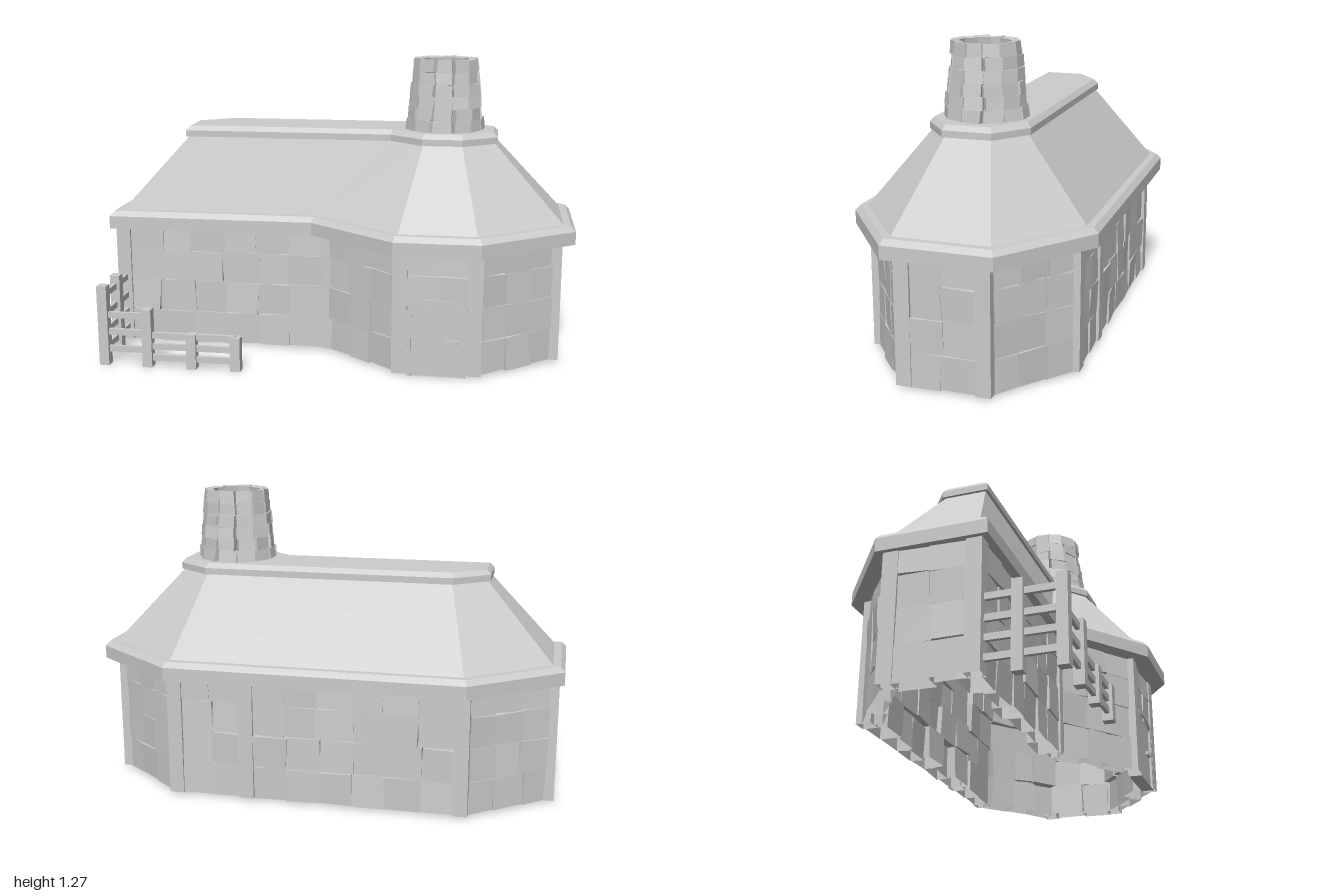
import * as THREE from 'three';

const mat = new THREE.MeshStandardMaterial({ color: 0xcccccc, flatShading: true });
const shellMat = new THREE.MeshStandardMaterial({ color: 0xcccccc, flatShading: true, side: THREE.DoubleSide });

let seed = 7;
const jitter = (a) => {
  seed = (seed * 16807) % 2147483647;
  return (seed / 2147483647 - 0.5) * 2 * a;
};

function add(parent, name, geo, x = 0, y = 0, z = 0, ry = 0, material = mat) {
  const m = new THREE.Mesh(geo, material);
  m.name = name;
  m.position.set(x, y, z);
  m.rotation.order = 'YXZ';
  m.rotation.y = ry;
  parent.add(m);
  return m;
}

function group(parent, name) {
  const g = new THREE.Group();
  g.name = name;
  parent.add(g);
  return g;
}

// Outlines are lists of [x, z], running clockwise seen from above
const eave = [[-1, -0.22], [-0.63, -0.506], [0.62, -0.506], [1, -0.22], [1, 0.22],
  [0.62, 0.504], [0.27, 0.504], [-0.105, 0.218], [-1, 0.218]];
const cap = [[-0.68, -0.1], [-0.535, -0.21], [0.525, -0.21], [0.672, -0.1], [0.672, 0.1],
  [0.53, 0.208], [0.36, 0.208], [0.22, 0.09], [-0.68, 0.09]];
const walls = [[-0.95, -0.165], [-0.61, -0.412], [0.29, -0.412], [0.6, -0.412], [0.92, -0.16], [0.92, 0.16],
  [0.6, 0.405], [0.294, 0.405], [-0.035, 0.16], [-0.95, 0.16]];

// Mitred inset of an outline
function inset(pts, d) {
  const n = pts.length;
  const normal = (a, b) => {
    const l = Math.hypot(b[0] - a[0], b[1] - a[1]);
    return [-(b[1] - a[1]) / l, (b[0] - a[0]) / l];
  };
  return pts.map((p, i) => {
    const u = normal(pts[(i + n - 1) % n], p), v = normal(p, pts[(i + 1) % n]);
    const k = d / (1 + u[0] * v[0] + u[1] * v[1]);
    return [p[0] + (u[0] + v[0]) * k, p[1] + (u[1] + v[1]) * k];
  });
}

// Skin over a stack of [outline, height] rings
function loft(rings) {
  const pos = [];
  for (let r = 0; r < rings.length - 1; r++) {
    const [lo, y0] = rings[r], [hi, y1] = rings[r + 1];
    lo.forEach((a, i) => {
      const j = (i + 1) % lo.length, b = lo[j], c = hi[i], d = hi[j];
      pos.push(a[0], y0, a[1], c[0], y1, c[1], b[0], y0, b[1]);
      pos.push(b[0], y0, b[1], c[0], y1, c[1], d[0], y1, d[1]);
    });
  }
  const g = new THREE.BufferGeometry();
  g.setAttribute('position', new THREE.Float32BufferAttribute(pos, 3));
  g.computeVertexNormals();
  return g;
}

// Box standing on the ground without an underside
function openBox(w, h, d) {
  const box = new THREE.BoxGeometry(w, h, d);
  const faces = Array.from(box.index.array);
  faces.splice(18, 6);
  box.setIndex(faces);
  return box;
}

// Skew the corners of a box into a rough block
function roughen(box, a) {
  const p = box.attributes.position;
  const off = Array.from({ length: 4 }, () => [jitter(a), jitter(a)]);
  for (let i = 0; i < p.count; i++) {
    const o = off[(p.getX(i) > 0 ? 1 : 0) + (p.getY(i) > 0 ? 2 : 0)];
    p.setXY(i, p.getX(i) + o[0], p.getY(i) + o[1]);
  }
  box.computeVertexNormals();
  return box;
}

function archShape(w, side, rise) {
  const s = new THREE.Shape();
  s.moveTo(-w, 0);
  s.lineTo(w, 0);
  s.lineTo(w, side);
  s.bezierCurveTo(w, side + rise, -w, side + rise, -w, side);
  s.closePath();
  return s;
}

export function createModel() {
  const root = new THREE.Group();
  root.name = 'cottage';
  const cx = 0.444; // chimney centre

  // Roof: eave band, slopes and ridge cap
  const roof = group(root, 'roof');
  const foot = inset(eave, 0.05), capTop = inset(cap, 0.018);
  add(roof, 'roofShell', loft([[inset(eave, 0.1), 0.525], [eave, 0.525], [eave, 0.58], [inset(eave, 0.02), 0.602],
    [foot, 0.602], [inset(cap, 0.012), 0.92], [cap, 0.92], [cap, 0.947], [capTop, 0.967]]), 0, 0, 0, 0, shellMat);
  const top = new THREE.Shape(capTop.map(([x, z]) => new THREE.Vector2(x, -z)));
  top.holes.push(new THREE.Path(Array.from({ length: 8 }, (_, i) => {
    const t = (i + 0.5) * Math.PI / 4;
    return new THREE.Vector2(cx + 0.102 * Math.cos(t), 0.102 * Math.sin(t));
  })));
  add(roof, 'roofTop', new THREE.ShapeGeometry(top).rotateX(-Math.PI / 2), 0, 0.967, 0, 0, shellMat);

  // Walls: square posts with rows of rough stones of uneven depth between them
  const posts = group(root, 'cornerPosts'), stones = group(root, 'wallStones');
  const rows = [0.01, 0.15, 0.29, 0.425, 0.54];
  const doorEdge = 6;
  walls.forEach((a, i) => {
    const b = walls[(i + 1) % walls.length];
    const dx = b[0] - a[0], dz = b[1] - a[1], len = Math.hypot(dx, dz);
    const ry = -Math.atan2(dz, dx);
    add(posts, 'post', openBox(0.062, 0.53, 0.062), a[0], 0.275, a[1], 0, shellMat);
    const cols = Math.max(2, Math.round((len - 0.05) / 0.14)), w = (len - 0.05) / cols;
    for (let r = 0; r < 4; r++) {
      if (i === doorEdge && r < 2) continue;
      const h = rows[r + 1] - rows[r];
      const cuts = Array.from({ length: cols + 1 }, (_, c) =>
        0.025 + c * w + (c > 0 && c < cols ? jitter(0.014) : 0));
      for (let c = 0; c < cols; c++) {
        const t = (cuts[c] + cuts[c + 1]) / 2 / len, depth = 0.07 + jitter(0.025);
        const size = [cuts[c + 1] - cuts[c] + 0.002, h, depth];
        const geo = roughen(r ? new THREE.BoxGeometry(...size) : openBox(...size), 0.004);
        geo.translate(0, 0, depth / 2 - 0.022 + jitter(0.004)); // keep the outer face near the wall line
        const m = add(stones, 'stone', geo, a[0] + dx * t, (rows[r] + rows[r + 1]) / 2, a[1] + dz * t,
          ry + jitter(0.06), r ? mat : shellMat);
        m.rotation.x = jitter(0.05);
        m.rotation.z = r ? jitter(0.04) : 0;
      }
    }
  });
  // Stone faces point outwards: the wall runs clockwise, so the outer side is local -z
  stones.children.forEach((m) => m.geometry.computeBoundingBox());

  // Arched door with frame and handle
  const door = group(root, 'door');
  door.position.set(0.447, 0, 0.38);
  const frame = archShape(0.122, 0.28, 0.066);
  frame.holes.push(archShape(0.104, 0.265, 0.056));
  add(door, 'doorFrame', new THREE.ExtrudeGeometry(frame, { depth: 0.055, bevelEnabled: false }));
  add(door, 'doorPanel', new THREE.ExtrudeGeometry(archShape(0.108, 0.267, 0.06), { depth: 0.045, bevelEnabled: false }));
  add(door, 'doorHandle', new THREE.BoxGeometry(0.05, 0.016, 0.014), 0.06, 0.15, 0.05);

  // Chimney: tapering rings of stones around an open flue
  const chimney = group(root, 'chimney');
  chimney.position.set(cx, 0, 0);
  const layers = 6, sides = 12, lh = 0.301 / layers;
  for (let r = 0; r < layers; r++) {
    for (let s = 0; s < sides; s++) {
      const rad = 0.143 - r * 0.005 + jitter(0.003);
      const t = (s + jitter(0.08)) / sides * Math.PI * 2;
      const m = add(chimney, 'chimneyStone', roughen(new THREE.BoxGeometry(rad * 0.54, lh + 0.001, 0.034), 0.003),
        Math.sin(t) * rad, 0.964 + lh * (r + 0.5), Math.cos(t) * rad, t + jitter(0.14));
      m.rotation.x = -0.1 + jitter(0.06);
    }
  }
  add(chimney, 'flue', new THREE.CylinderGeometry(0.11, 0.125, 0.296, 8, 1, true), 0, 1.113, 0, Math.PI / 8, shellMat);

  // Fence: posts stepping down to the right, with rails between
  const fence = group(root, 'fence');
  const fz = 0.475, xs = [-0.945, -0.757, -0.568, -0.38], hs = [0.345, 0.25, 0.15, 0.145];
  xs.forEach((x, i) => add(fence, 'fencePost', new THREE.BoxGeometry(0.042, hs[i], 0.042), x, hs[i] / 2, fz));
  add(fence, 'fencePost', new THREE.BoxGeometry(0.042, 0.345, 0.042), xs[0], 0.1725, 0.315);
  const lowRails = [0.04, 0.088, 0.137];
  [[0.07, 0.144, 0.218], lowRails, lowRails].forEach((ys, i) => ys.forEach((y) =>
    add(fence, 'fenceRail', new THREE.BoxGeometry(xs[i + 1] - xs[i], 0.026, 0.016), (xs[i] + xs[i + 1]) / 2, y, fz)));
  [0.07, 0.144, 0.218, 0.3].forEach((y) =>
    add(fence, 'fenceRail', new THREE.BoxGeometry(0.016, 0.026, 0.3), xs[0], y, 0.325));

  return root;
}
